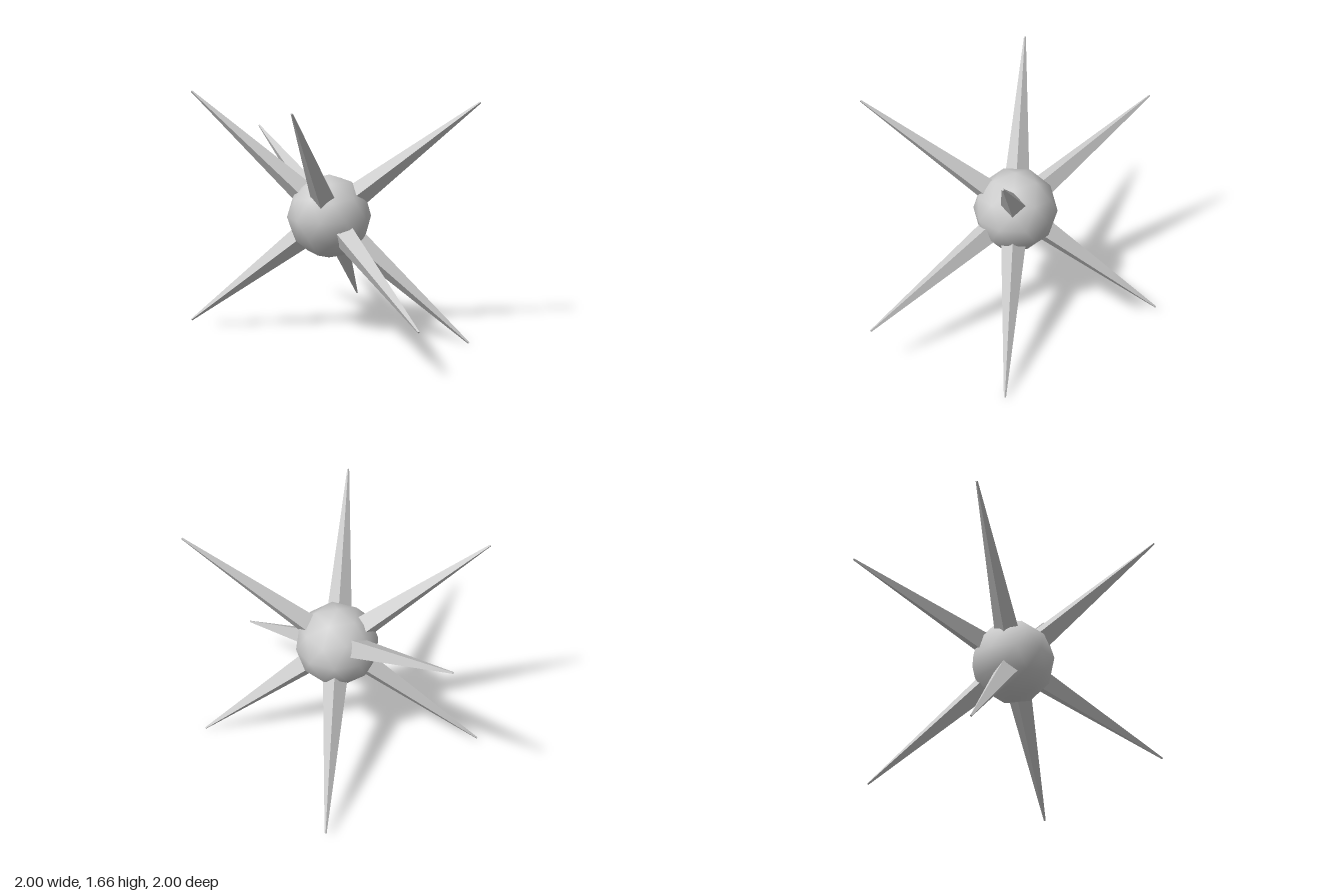
import * as THREE from 'three';

const CENTER_Y = 0.833;

export function createModel() {
  const group = new THREE.Group();
  const material = new THREE.MeshStandardMaterial({ color: 0xcccccc });
  const flatMaterial = new THREE.MeshStandardMaterial({ color: 0xcccccc, flatShading: true });

  // Smooth 80-sided core, turned so that one corner points straight up
  const coreGeometry = new THREE.IcosahedronGeometry(0.285, 1);
  coreGeometry.rotateZ(-Math.atan(2 / (1 + Math.sqrt(5))));
  const core = new THREE.Mesh(coreGeometry, material);
  core.name = 'core';
  core.position.y = CENTER_Y;
  group.add(core);

  // Four-sided tapering spike from the core's middle to its tip
  function addSpike(tip) {
    const length = tip.length();
    const along = tip.clone().normalize();
    const side = new THREE.Vector3(0, 0, 1).cross(along).normalize();
    const across = side.clone().cross(along);
    const geometry = new THREE.CylinderGeometry(0.007, 0.1, length, 4);
    geometry.translate(0, length / 2, 0);
    geometry.applyMatrix4(new THREE.Matrix4().makeBasis(side, along, across));
    const spike = new THREE.Mesh(geometry, flatMaterial);
    spike.name = 'spike';
    spike.position.y = CENTER_Y;
    group.add(spike);
  }

  // Spikes come in opposite pairs
  const tips = [
    [0.995, 0.785, 0],
    [-0.957, 0.825, 0],
    [0, 0.785, 0.995],
    [0.74, -0.505, 0.89],
  ];
  for (const [x, y, z] of tips) {
    addSpike(new THREE.Vector3(x, y, z));
    addSpike(new THREE.Vector3(-x, -y, -z));
  }
  return group;
}
